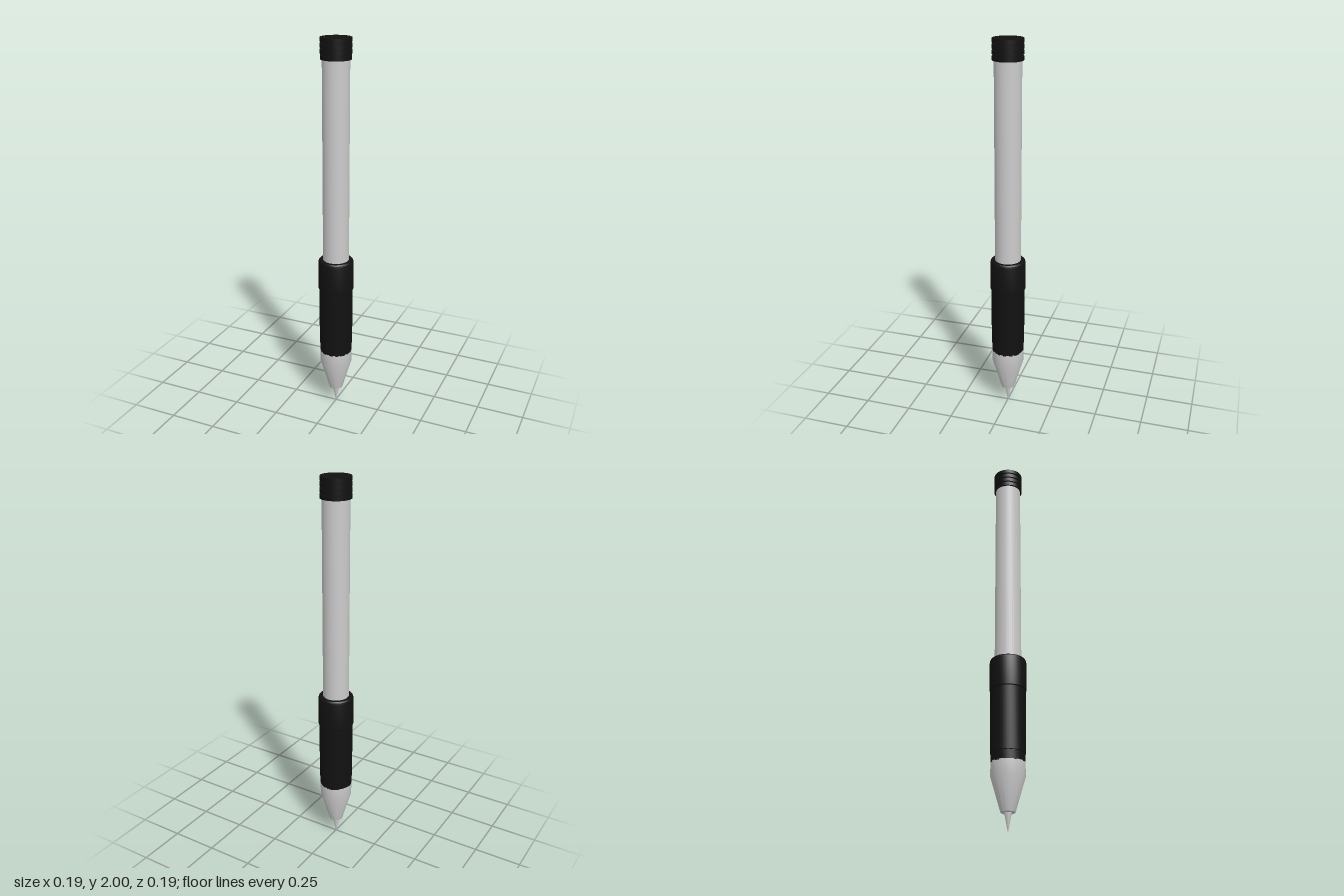
import * as THREE from 'three';
import { toCreasedNormals } from 'three/addons/utils/BufferGeometryUtils.js';

const SEGMENTS = 40;
const grey = new THREE.MeshStandardMaterial({ color: 0xcccccc });
const black = new THREE.MeshStandardMaterial({ color: 0x111111 });

// Turned part from [radius, height] pairs, listed from bottom to top
function turned(name, profile, material) {
  const points = profile.map(([r, y]) => new THREE.Vector2(r, y));
  const geometry = toCreasedNormals(new THREE.LatheGeometry(points, SEGMENTS), 0.5);
  const mesh = new THREE.Mesh(geometry, material);
  mesh.name = name;
  return mesh;
}

export function createModel() {
  const pencil = new THREE.Group();
  pencil.name = 'mechanicalPencil';

  // Fine point and the tapered nose that holds it
  pencil.add(turned('leadPoint', [[0, 0], [0.003, 0.01], [0.018, 0.09], [0.018, 0.1]], grey));
  pencil.add(turned('noseCone', [
    [0, 0.092], [0.026, 0.092], [0.03, 0.088], [0.036, 0.092],
    [0.085, 0.26], [0.085, 0.33], [0, 0.33],
  ], grey));

  // Soft grip, slightly stepped and rounded at both ends
  pencil.add(turned('grip', [
    [0.06, 0.32], [0.081, 0.32], [0.085, 0.326], [0.085, 0.374], [0.088, 0.376],
    [0.089, 0.698], [0.093, 0.702], [0.093, 0.848], [0.09, 0.859], [0.084, 0.865], [0.06, 0.865],
  ], black));

  // Barrel
  pencil.add(turned('barrel', [[0, 0.32], [0.068, 0.32], [0.068, 1.91], [0, 1.91]], grey));

  // Push cap: four rims separated by narrow grooves
  const rim = 0.077, groove = 0.068, pitch = 0.0275, thickness = 0.0205;
  const cap = [[0, 1.897]];
  for (let i = 0; i < 4; i++) {
    const y = 1.897 + i * pitch;
    cap.push([groove, y], [rim, y], [rim, y + thickness], [groove, y + thickness]);
  }
  cap.push([0, 2]);
  pencil.add(turned('pushCap', cap, black));

  return pencil;
}
